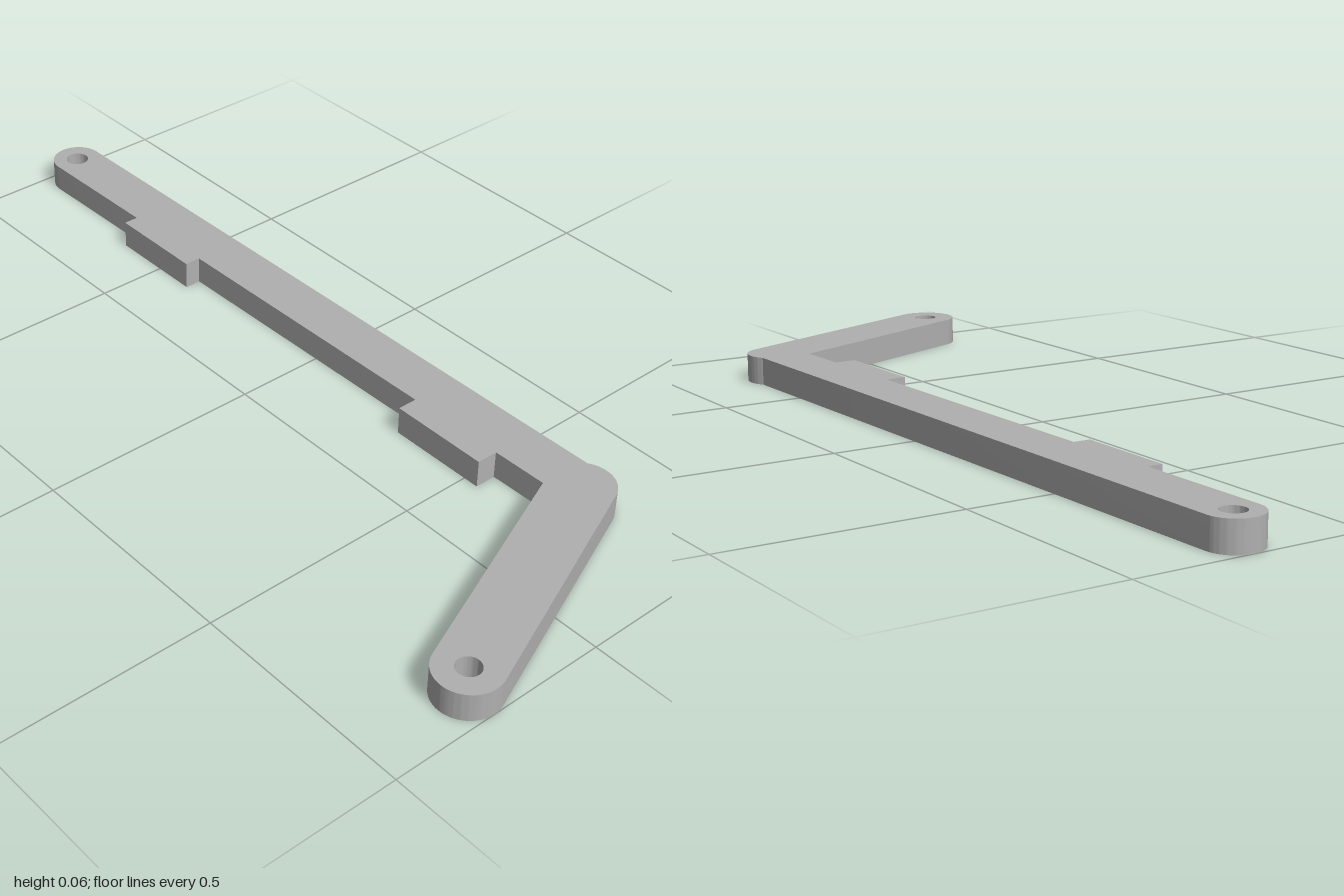
import * as THREE from 'three';
import { toCreasedNormals } from 'three/addons/utils/BufferGeometryUtils.js';

const HEIGHT = 0.063;
const TILT = Math.atan2(0.378, 0.926); // lean of the short arm

export function createModel() {
  const group = new THREE.Group();
  group.name = 'bracket';
  const grey = new THREE.MeshStandardMaterial({ color: 0xb0b0b0 });
  grey.name = 'grey';

  // plan outline, with shape y standing for -z
  const outline = new THREE.Shape();
  outline.moveTo(-0.942, 0.19);

  // front edge of the long arm, with its two tabs
  const edgeY = (x) => 0.19 + (x + 0.942) * 0.0125;
  for (const [x0, x1] of [[-0.63, -0.4], [0.305, 0.535]]) {
    outline.lineTo(x0, edgeY(x0));
    outline.lineTo(x0, 0.16);
    outline.lineTo(x1, 0.16);
    outline.lineTo(x1, edgeY(x1));
  }

  // short arm with its round end, then the round elbow
  outline.lineTo(0.662, 0.21);
  outline.absarc(0.93, -0.262, 0.07, Math.PI + TILT, 2 * Math.PI + TILT, false);
  outline.absarc(0.715, 0.265, 0.07, TILT, 2.162, false);

  // back edge and the round end of the long arm
  outline.absarc(-0.942, 0.248, 0.058, Math.PI / 2, Math.PI * 1.5, false);

  // screw holes
  for (const [x, y] of [[-0.942, 0.248], [0.93, -0.262]]) {
    const hole = new THREE.Path();
    hole.absarc(x, y, 0.026, 0, Math.PI * 2, true);
    outline.holes.push(hole);
  }

  const geometry = new THREE.ExtrudeGeometry(outline, {
    depth: HEIGHT, bevelEnabled: false, curveSegments: 24,
  });
  geometry.rotateX(-Math.PI / 2);

  const arm = new THREE.Mesh(toCreasedNormals(geometry, 0.3), grey);
  arm.name = 'bracketArm';
  group.add(arm);
  return group;
}
